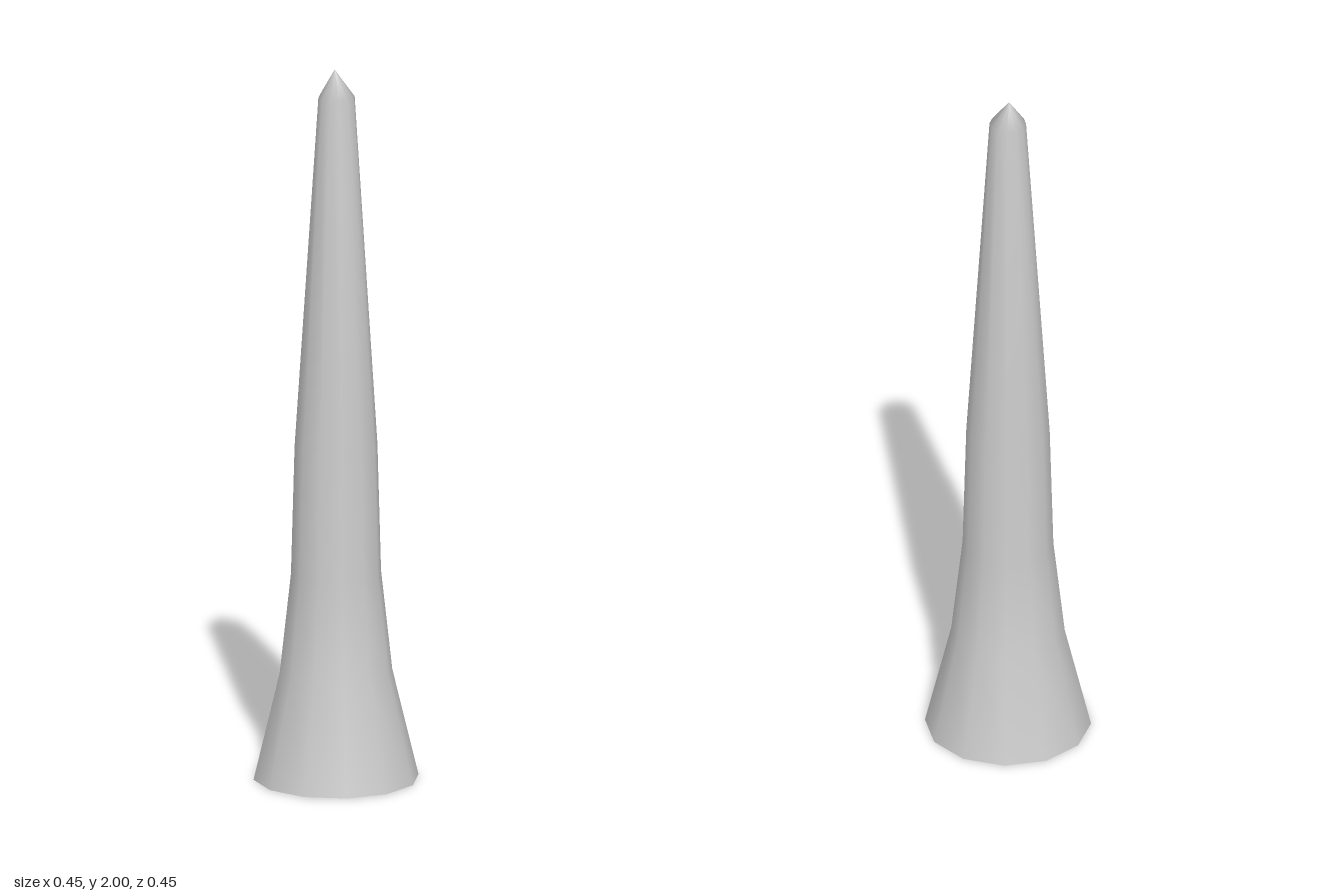
import * as THREE from 'three';

// Profile rings: [radius, height, z shift]
const RINGS = [
  [0.227, 0, 0],
  [0.155, 0.3, 0],
  [0.124, 0.58, 0],
  [0.114, 0.94, 0],
  [0.05, 1.925, 0.005],
  [0, 2, -0.006],
];

export function createModel() {
  const group = new THREE.Group();
  group.name = 'taperedSpike';

  // Twelve-sided smooth shell, open underneath
  const profile = RINGS.map(([r, y]) => new THREE.Vector2(r, y));
  const geometry = new THREE.LatheGeometry(profile, 12);

  // Shift the top rings slightly off the axis
  const position = geometry.attributes.position;
  for (let i = 0; i < position.count; i++) {
    const shift = RINGS[i % RINGS.length][2];
    position.setZ(i, position.getZ(i) + shift);
    if (shift > 0) position.setX(i, position.getX(i) - 0.002);
  }

  const material = new THREE.MeshStandardMaterial({ color: 0xcccccc, side: THREE.DoubleSide });
  const spike = new THREE.Mesh(geometry, material);
  spike.name = 'spikeShell';
  group.add(spike);
  return group;
}
